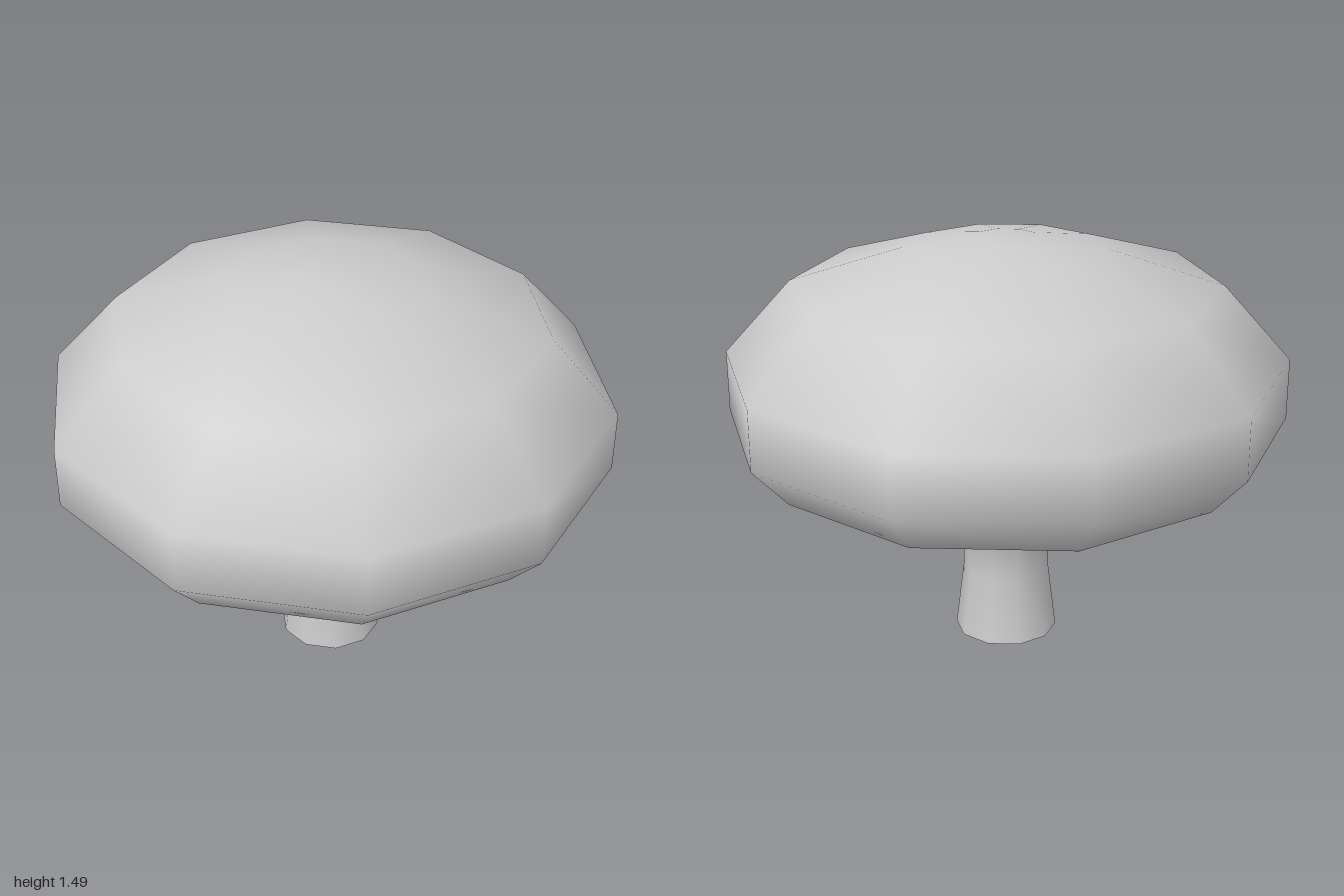
import * as THREE from 'three';
import { mergeVertices } from 'three/addons/utils/BufferGeometryUtils.js';

const SIDES = 10;

// Ten-sided, smooth-shaded turned part; profile is [radius, height] from bottom to top
function turned(name, profile, material) {
  const points = profile.map(([r, y]) => new THREE.Vector2(r, y));
  const lathe = new THREE.LatheGeometry(points, SIDES, Math.PI / 2);
  // Weld the seam and weight the normals by face area
  lathe.deleteAttribute('uv');
  lathe.deleteAttribute('normal');
  const geometry = mergeVertices(lathe);
  geometry.computeVertexNormals();
  const mesh = new THREE.Mesh(geometry, material);
  mesh.name = name;
  return mesh;
}

export function createModel() {
  const group = new THREE.Group();
  group.name = 'mushroom';
  const material = new THREE.MeshStandardMaterial({ color: 0xcccccc, side: THREE.DoubleSide });

  // Stem, open at the foot, spreading into the shallow cone under the cap
  group.add(turned('stemAndGills', [
    [0.186, 0], [0.156, 0.25], [0.155, 0.668], [0.79, 0.77],
  ], material));

  // Domed cap: inner lip, bevelled rim, dome and small flat crown
  group.add(turned('cap', [
    [0.79, 0.77], [0.87, 0.695], [1, 0.84], [1, 1.06],
    [0.76, 1.326], [0.36, 1.45], [0.12, 1.49], [0, 1.49],
  ], material));

  return group;
}
